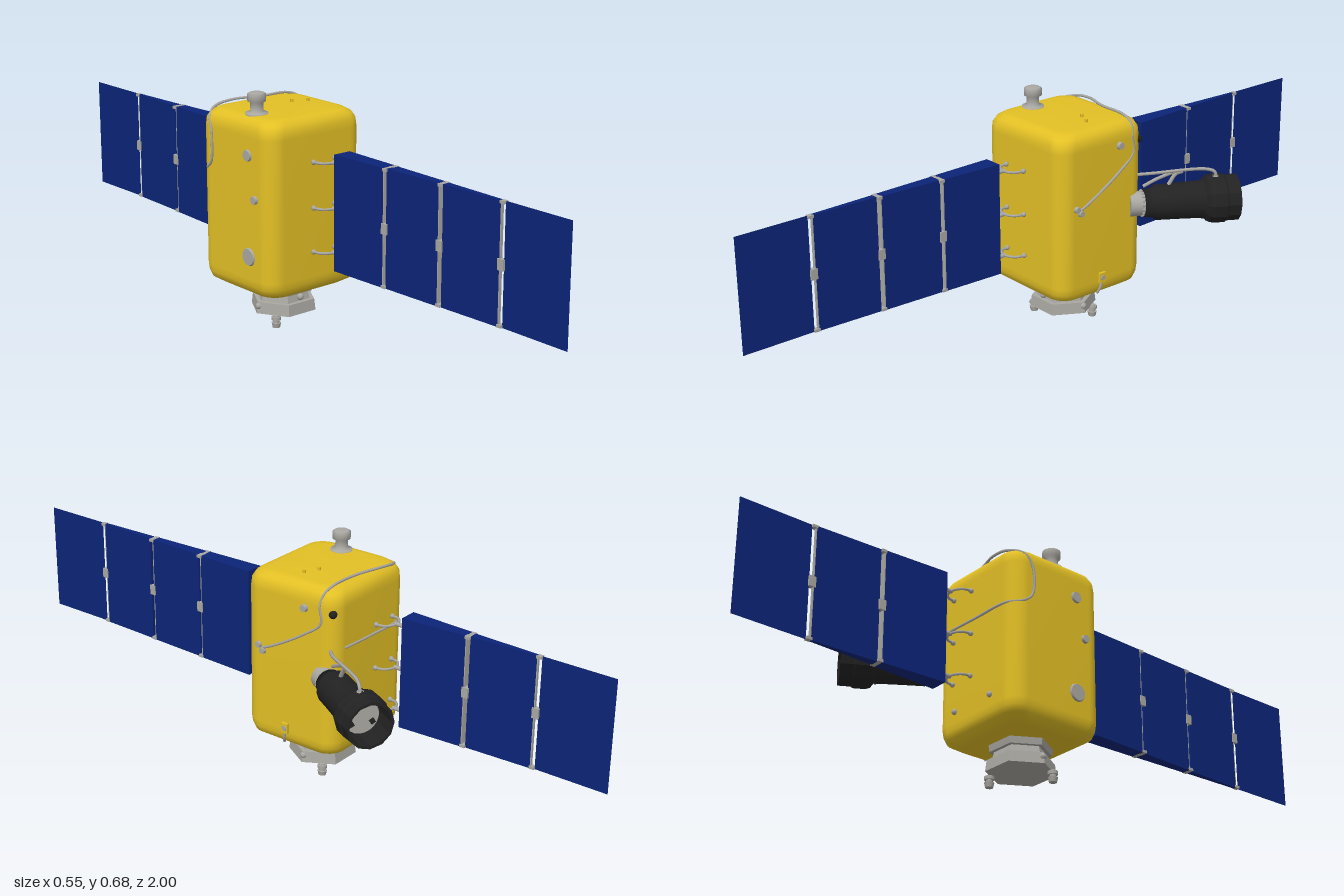
import * as THREE from 'three';

const mat = (name, color, side = THREE.FrontSide) => {
  const m = new THREE.MeshStandardMaterial({ color, side });
  m.name = name;
  return m;
};

// Closed loft of rounded-rectangle rings; each ring is [y, inset]
function loftBody(rings, hx, hz, r) {
  const pos = [], idx = [], steps = 6, n = 4 * (steps + 1);
  for (const [y, inset] of rings) {
    for (let c = 0; c < 4; c++) {
      const sx = c === 0 || c === 3 ? 1 : -1, sz = c < 2 ? 1 : -1;
      for (let s = 0; s <= steps; s++) {
        const a = (c + s / steps) * Math.PI / 2;
        pos.push(sx * (hx - inset - r) + r * Math.cos(a), y, sz * (hz - inset - r) + r * Math.sin(a));
      }
    }
  }
  const last = (rings.length - 1) * n;
  for (let j = 0; j < n; j++) {
    const k = (j + 1) % n;
    for (let i = 0; i < last; i += n) idx.push(i + j, i + n + j, i + k, i + k, i + n + j, i + n + k);
    idx.push(rings.length * n, j, k, rings.length * n + 1, last + k, last + j);
  }
  pos.push(0, rings[0][0], 0, 0, rings[rings.length - 1][0], 0);
  const g = new THREE.BufferGeometry();
  g.setAttribute('position', new THREE.Float32BufferAttribute(pos, 3));
  g.setIndex(idx);
  g.computeVertexNormals();
  return g;
}

export function createModel() {
  const model = new THREE.Group();
  const yellow = mat('yellow foil', 0xe3c025);
  const blue = mat('solar blue', 0x0c2478, THREE.DoubleSide);
  const grey = mat('light grey metal', 0xaaa8a2);
  const black = mat('black barrel', 0x222222, THREE.DoubleSide);

  const add = (name, geo, material, p = [0, 0, 0], parent = model) => {
    const m = new THREE.Mesh(geo, material);
    m.name = name;
    m.position.set(...p);
    parent.add(m);
    return m;
  };
  const cyl = (rt, rb, h, n = 16) => new THREE.CylinderGeometry(rt, rb, h, n);
  const tube = (name, pts, r, parent = model) => {
    const curve = new THREE.CatmullRomCurve3(pts.map(p => new THREE.Vector3(...p)), false, 'centripetal');
    return add(name, new THREE.TubeGeometry(curve, pts.length * 6, r, 6), grey, [0, 0, 0], parent);
  };
  const lathe = (pts, n) => new THREE.LatheGeometry(pts.map(p => new THREE.Vector2(...p)), n);

  // Main body
  const cx = -0.102, cz = -0.083;
  const rings = [[0.113, 0.045], [0.118, 0.03], [0.132, 0.008], [0.15, 0.002], [0.17, 0], [0.575, 0],
    [0.597, 0.002], [0.613, 0.01], [0.623, 0.024], [0.627, 0.045]];
  add('body', loftBody(rings, 0.169, 0.158, 0.05), yellow, [cx, 0, cz]);

  // Top antenna knob and studs
  add('topKnob', lathe([[0.032, 0.624], [0.032, 0.63], [0.018, 0.634], [0.018, 0.658], [0.026, 0.662],
    [0.026, 0.682], [0.02, 0.686], [0, 0.686]], 16), grey, [-0.21, 0, -0.055]);
  for (const [x, z] of [[-0.048, -0.1], [-0.007, -0.08]])
    add('topStud', cyl(0.005, 0.005, 0.014, 8), yellow, [x, 0.629, z]);

  // Hexagonal docking base with knobs and two feet
  const base = new THREE.Group();
  base.name = 'base';
  base.position.set(-0.103, 0, -0.077);
  model.add(base);
  for (const [rt, rb, y0, y1] of [[0.094, 0.098, 0.037, 0.07], [0.074, 0.08, 0.07, 0.094], [0.09, 0.086, 0.094, 0.116]]) {
    const g = cyl(rt, rb, y1 - y0, 6).toNonIndexed();
    g.rotateY(Math.PI / 6 + Math.PI / 3);
    g.computeVertexNormals();
    add('baseTier', g, grey, [0, (y0 + y1) / 2, 0], base);
  }
  for (let i = 0; i < 6; i++) {
    const a = i * Math.PI / 3, side = i % 3 === 0;
    const r = side ? 0.09 : 0.082;
    add('baseKnob', new THREE.SphereGeometry(0.01, 10, 8), grey, [r * Math.cos(a), 0.058, r * Math.sin(a)], base);
  }
  add('frontBaseKnob', new THREE.SphereGeometry(0.01, 10, 8), grey, [0, 0.085, 0.076], base);
  for (const s of [-1, 1]) {
    add('footStem', cyl(0.009, 0.009, 0.034, 10), grey, [s * 0.07, 0.022, -s * 0.053], base);
    add('footCollar', cyl(0.014, 0.014, 0.01, 10), grey, [s * 0.07, 0.031, -s * 0.053], base);
    add('footPad', cyl(0.014, 0.011, 0.014, 10), grey, [s * 0.07, 0.011, -s * 0.053], base);
  }

  // Tapered panel, thick at z0 and thin at z1
  const py = 0.378, ph = 0.33;
  const taperedPanel = (z0, z1, w0, w1) => {
    const g = new THREE.BoxGeometry(1, ph, Math.abs(z1 - z0));
    const p = g.attributes.position, mid = (z0 + z1) / 2;
    for (let i = 0; i < p.count; i++) {
      const z = p.getZ(i) + mid;
      p.setX(i, p.getX(i) * (Math.abs(z - z0) < 1e-4 ? w0 : w1));
    }
    g.computeVertexNormals();
    add('solarPanel', g, blue, [cx - 0.002, py, mid]);
  };
  // Inner panels run outwards from the body, the last one is a flat sheet
  const wings = [
    { s: 1, root: 0.178, panels: [[0.178, 0.365, 0.055, 0.042], [0.376, 0.563, 0.038, 0.025], [0.577, 0.771, 0.021, 0.008]], tip: [0.784, 1] },
    { s: -1, root: -0.361, panels: [[-0.361, -0.558, 0.054, 0.032], [-0.571, -0.769, 0.025, 0.008]], tip: [-0.782, -1] },
  ];
  for (const { s, root, panels, tip } of wings) {
    for (const [z0, z1, w0, w1] of panels) {
      taperedPanel(z0, z1, w0, w1);
      // Grey edge strip and hinges leading to the next panel
      add('panelEdge', new THREE.BoxGeometry(w1, ph, 0.003), grey, [cx - 0.002, py, z1 + s * 0.0015]);
      for (const y of [py, py - ph / 2 + 0.004, py + ph / 2 - 0.004]) {
        const mainHinge = y === py;
        add('hinge', new THREE.BoxGeometry(w1 + 0.006, mainHinge ? 0.03 : 0.008, mainHinge ? 0.02 : 0.016),
          grey, [cx - 0.002, y, z1 + s * 0.006]);
      }
    }
    const sheet = new THREE.PlaneGeometry(Math.abs(tip[1] - tip[0]), ph);
    sheet.rotateY(Math.PI / 2);
    add('tipPanel', sheet, blue, [cx - 0.002, py, (tip[0] + tip[1]) / 2]);

    // Forked arms between body and wing
    const end = root - s * 0.075;
    for (const y of [0.252, py, 0.508]) {
      const stem = cyl(0.006, 0.006, 0.04, 8);
      stem.rotateX(Math.PI / 2);
      add('armStem', stem, grey, [cx, y, root - s * 0.018]);
      for (const m of [-1, 1]) {
        tube('armFork', [[cx, y, root - s * 0.033], [cx + m * 0.02, y, root - s * 0.04],
          [cx + m * 0.034, y, root - s * 0.054], [cx + m * 0.038, y, end]], 0.004);
        add('armFoot', new THREE.SphereGeometry(0.0075, 8, 6), grey, [cx + m * 0.038, y, end]);
      }
    }
  }

  // Telescope barrel, built along local y and turned outwards
  const scope = new THREE.Group();
  scope.name = 'telescope';
  scope.position.set(0.055, 0.367, -0.2);
  scope.quaternion.setFromUnitVectors(new THREE.Vector3(0, 1, 0), new THREE.Vector3(0.498, 0, -0.867).normalize());
  model.add(scope);
  add('barrel', lathe([[0, 0.035], [0.04, 0.035], [0.044, 0.06], [0.052, 0.07], [0.053, 0.13], [0.055, 0.2], [0.058, 0.21]], 16), black, [0, 0, 0], scope);
  const hood = lathe([[0.05, 0.208], [0.068, 0.222], [0.072, 0.235], [0.072, 0.27], [0.068, 0.275],
    [0.068, 0.312], [0.06, 0.312], [0.058, 0.245], [0, 0.245]], 12).toNonIndexed();
  hood.computeVertexNormals();
  add('hood', hood, black, [0, 0, 0], scope);
  add('lens', cyl(0.05, 0.05, 0.006, 20), grey, [0, 0.25, 0], scope);
  for (let i = 0; i < 3; i++) {
    const a = i * Math.PI * 2 / 3;
    add('lensTab', new THREE.BoxGeometry(0.014, 0.006, 0.014), black, [0.035 * Math.cos(a), 0.255, 0.035 * Math.sin(a)], scope);
  }
  add('collar', cyl(0.036, 0.036, 0.045, 20), grey, [0, 0.015, 0], scope);
  for (let i = 0; i < 18; i++) {
    const a = i * Math.PI / 9;
    add('collarBolt', new THREE.SphereGeometry(0.004, 6, 5), grey, [0.037 * Math.cos(a), 0.03, 0.037 * Math.sin(a)], scope);
  }

  // Support rods above the barrel
  tube('supportRod', [[0.055, 0.452, -0.22], [0.085, 0.457, -0.25], [0.165, 0.459, -0.39], [0.18, 0.45, -0.41], [0.182, 0.425, -0.415]], 0.005);
  tube('supportStrut', [[0.065, 0.415, -0.235], [0.085, 0.435, -0.27], [0.115, 0.456, -0.31]], 0.005);
  tube('supportStrut', [[0.13, 0.457, -0.33], [0.118, 0.45, -0.315], [0.108, 0.418, -0.295]], 0.006);
  add('rodMount', cyl(0.01, 0.01, 0.02, 10), grey, [0.18, 0.428, -0.413]);

  // Cables: over the top, down the left rear corner, across the back and along the side
  tube('topCable', [[0.066, 0.58, -0.19], [0.055, 0.612, -0.195], [0.02, 0.628, -0.2], [-0.08, 0.63, -0.205], [-0.16, 0.63, -0.225],
    [-0.22, 0.622, -0.225], [-0.262, 0.605, -0.2], [-0.273, 0.57, -0.18], [-0.274, 0.48, -0.18],
    [-0.268, 0.456, -0.205], [-0.235, 0.452, -0.238], [-0.1, 0.452, -0.243], [0.02, 0.455, -0.242]], 0.004);
  tube('sideCable', [[0.068, 0.4, 0.015], [0.069, 0.42, -0.03], [0.069, 0.485, -0.14], [0.066, 0.53, -0.195], [0.066, 0.58, -0.19]], 0.004);

  // Side fittings
  const sideDisc = (name, x, y, z, r, t, material) => {
    const g = cyl(r * 0.85, r, t, 14);
    g.rotateZ(x > cx ? -Math.PI / 2 : Math.PI / 2);
    add(name, g, material, [x, y, z]);
  };
  sideDisc('sideStud', 0.07, 0.563, -0.14, 0.012, 0.014, grey);
  sideDisc('sideStud', 0.07, 0.41, 0.02, 0.01, 0.014, grey);
  sideDisc('sideStud', 0.07, 0.395, 0.005, 0.01, 0.014, grey);
  sideDisc('leftStud', -0.273, 0.405, 0.01, 0.013, 0.014, grey);
  sideDisc('leftPort', -0.272, 0.235, -0.02, 0.028, 0.008, grey);
  sideDisc('leftPort', -0.272, 0.525, -0.02, 0.018, 0.01, grey);
  add('sideBox', new THREE.BoxGeometry(0.014, 0.03, 0.022), yellow, [0.068, 0.178, -0.075]);
  sideDisc('sideBoxCap', 0.074, 0.178, -0.075, 0.009, 0.006, grey);
  tube('sideBoxLead', [[0.069, 0.165, -0.075], [0.068, 0.145, -0.07], [0.06, 0.128, -0.065]], 0.004);
  add('cornerFitting', new THREE.SphereGeometry(0.012, 8, 6), black, [0.052, 0.56, -0.225]);
  for (const x of [-0.02, -0.17])
    add('backStud', new THREE.SphereGeometry(0.009, 8, 6), grey, [x, 0.2, -0.242]);

  return model;
}
